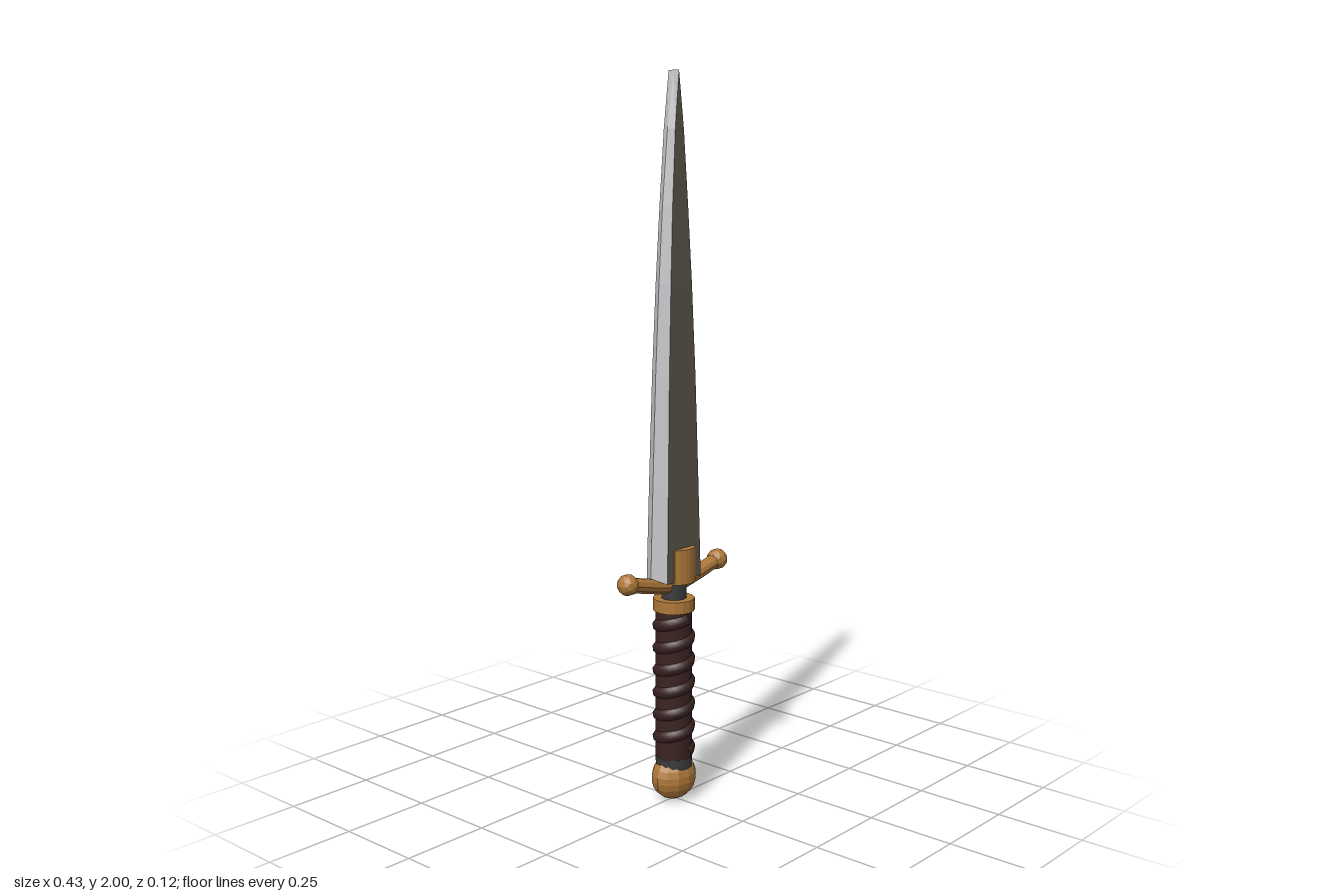
import * as THREE from 'three';

const mat = (name, color, extra = {}) => {
  const m = new THREE.MeshStandardMaterial({ color, ...extra });
  m.name = name;
  return m;
};

export function createModel() {
  const root = new THREE.Group();
  root.name = 'dagger';
  const gold = mat('brass', 0xac7839, { flatShading: true });
  const steel = mat('polished steel edge', 0xc4c4c8);
  const darkSteel = mat('dark steel', 0x5e564a);
  const leather = mat('leather', 0x3a2322);
  const iron = mat('iron', 0x3a3c3e);

  const add = (name, geometry, material, x = 0, y = 0, z = 0, parent = root) => {
    const mesh = new THREE.Mesh(geometry, material);
    mesh.name = name;
    mesh.position.set(x, y, z);
    parent.add(mesh);
    return mesh;
  };

  // Blade rows: height, half width at the edge, half width of the flat, half thickness
  const rows = [
    [0.64, 0.094, 0.069, 0.038],
    [0.9, 0.085, 0.062, 0.035],
    [1.2, 0.073, 0.053, 0.031],
    [1.45, 0.059, 0.042, 0.027],
    [1.65, 0.045, 0.031, 0.023],
    [1.85, 0.025, 0.017, 0.02],
    [2.0, 0, 0, 0.018],
  ];
  const sections = rows.map(([y, w, f, t], i) => {
    const edgeY = i === 0 ? y + 0.015 : y;
    return [[w, edgeY, 0], [f, y, t], [-f, y, t], [-w, edgeY, 0], [-f, y, -t], [f, y, -t]];
  });
  const bevels = [], flats = [];
  for (let r = 0; r < sections.length - 1; r++) {
    const a = sections[r], b = sections[r + 1];
    for (let i = 0; i < 6; i++) {
      const j = (i + 1) % 6;
      const out = i === 1 || i === 4 ? flats : bevels;
      out.push(...a[i], ...b[i], ...b[j], ...a[i], ...b[j], ...a[j]);
    }
  }
  // Underside of the blade
  const base = sections[0];
  for (let i = 0; i < 6; i++) bevels.push(0, 0.64, 0, ...base[i], ...base[(i + 1) % 6]);
  const faces = (list) => {
    const g = new THREE.BufferGeometry();
    g.setAttribute('position', new THREE.Float32BufferAttribute(list, 3));
    g.computeVertexNormals();
    return g;
  };
  const blade = new THREE.Group();
  blade.name = 'blade';
  root.add(blade);
  add('bladeBevels', faces(bevels), steel, 0, 0, 0, blade);
  add('bladeFlats', faces(flats), darkSteel, 0, 0, 0, blade);

  // Curved guard plates clasping the blade, front and back
  const plate = new THREE.Shape();
  plate.moveTo(-0.042, 0.03);
  plate.lineTo(0.042, 0.03);
  plate.lineTo(0.042, 0.042);
  plate.quadraticCurveTo(0, 0.076, -0.042, 0.042);
  plate.closePath();
  const plateGeo = new THREE.ExtrudeGeometry(plate, { depth: 0.097, bevelEnabled: false, curveSegments: 6 });
  plateGeo.rotateX(-Math.PI / 2);
  for (const turn of [0, Math.PI]) {
    add(turn ? 'frontGuardPlate' : 'backGuardPlate', plateGeo, gold, 0, 0.633, 0).rotation.y = turn;
  }

  // Upswept crossguard arms with ball ends
  const sweep = new THREE.CatmullRomCurve3([
    [-0.185, 0.657], [-0.11, 0.638], [-0.045, 0.624], [0, 0.62],
    [0.045, 0.624], [0.11, 0.638], [0.185, 0.657],
  ].map(([x, y]) => new THREE.Vector3(x, y, 0)));
  add('crossguard', new THREE.TubeGeometry(sweep, 16, 0.021, 10), gold);
  for (const s of [-1, 1]) {
    add(s > 0 ? 'leftGuardBall' : 'rightGuardBall', new THREE.IcosahedronGeometry(0.03, 1), gold, s * 0.185, 0.657, 0);
  }

  // Tang, collar and grip core
  add('tang', new THREE.CylinderGeometry(0.035, 0.035, 0.08, 12), iron, 0, 0.61, 0);
  add('collar', new THREE.CylinderGeometry(0.058, 0.058, 0.034, 16), gold, 0, 0.567, 0);
  add('gripCore', new THREE.CylinderGeometry(0.051, 0.051, 0.43, 16), leather, 0, 0.335, 0);
  add('gripFerrule', new THREE.CylinderGeometry(0.052, 0.05, 0.06, 14), iron, 0, 0.097, 0);

  // Leather cord wound around the grip
  const turns = 6, steps = 24;
  const helix = [];
  for (let i = 0; i <= turns * steps; i++) {
    const a = (i / steps) * Math.PI * 2;
    helix.push(new THREE.Vector3(
      0.04 * Math.sin(a), 0.143 + (0.387 * i) / (turns * steps), 0.04 * Math.cos(a)));
  }
  add('gripWrap', new THREE.TubeGeometry(new THREE.CatmullRomCurve3(helix), turns * steps, 0.02, 8), leather);

  // Faceted pommel, narrower front to back
  const pommel = new THREE.SphereGeometry(0.07, 12, 8, 0, Math.PI * 2, Math.PI * 0.26, Math.PI * 0.74);
  pommel.scale(1, 0.93, 0.83);
  add('pommel', pommel, gold, 0, 0.065, 0);
  const cap = new THREE.CylinderGeometry(0.051, 0.051, 0.006, 12);
  cap.scale(1, 1, 0.83);
  add('pommelTop', cap, gold, 0, 0.107, 0);

  return root;
}
